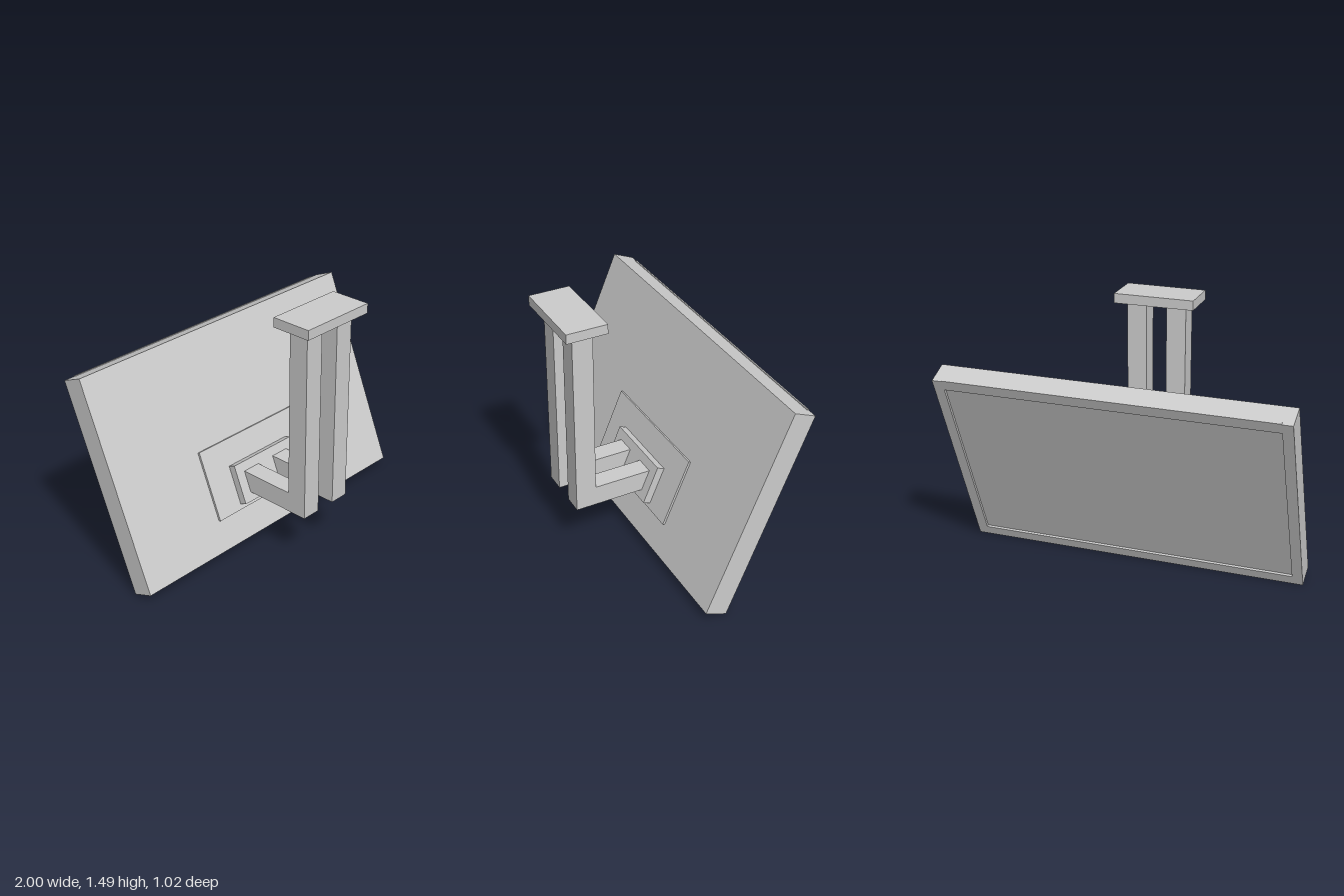
import * as THREE from 'three';

const grey = new THREE.MeshStandardMaterial({ color: 0xcccccc, flatShading: true });

// Box given by its minimum and maximum on each axis
function box(name, [x0, x1], [y0, y1], [z0, z1]) {
  const mesh = new THREE.Mesh(new THREE.BoxGeometry(x1 - x0, y1 - y0, z1 - z0), grey);
  mesh.position.set((x0 + x1) / 2, (y0 + y1) / 2, (z0 + z1) / 2);
  mesh.name = name;
  return mesh;
}

export function createModel() {
  const model = new THREE.Group();
  model.name = 'hangingScreen';

  // Tilted display, built upright around its own centre; the screen faces back
  const display = new THREE.Group();
  display.name = 'display';
  display.position.set(0, 0.598, -0.208);
  display.rotation.x = -0.394;
  model.add(display);

  const h = 0.617, d = 0.068, lip = 0.014, rim = 0.06;
  const rimZ = [-d, -d + lip];
  display.add(box('casing', [-1, 1], [-h, h], [-d + lip, d]));

  // Raised bezel around the recessed screen
  display.add(box('bezelRight', [-1, -1 + rim], [-h, h], rimZ));
  display.add(box('bezelLeft', [1 - rim, 1], [-h, h], rimZ));
  display.add(box('bezelTop', [-1 + rim, 1 - rim], [h - rim, h + 0.004], rimZ));
  display.add(box('bezelBottom', [-1 + rim, 1 - rim], [-h, -h + rim], rimZ));

  // Stacked mounting plates
  display.add(box('backingPlate', [-0.41, 0.41], [-0.44, -0.027], [d, 0.081]));
  display.add(box('mountPlate', [-0.235, 0.235], [-0.41, -0.177], [0.081, 0.126]));

  // Pair of L-shaped arms: profile drawn in (z, y), extruded along x
  const profile = new THREE.Shape([
    [0.455, 0.315], [0.455, 1.437], [0.335, 1.437],
    [0.335, 0.433], [-0.01, 0.433], [0.03, 0.315],
  ].map(([z, y]) => new THREE.Vector2(-z, y)));
  const armGeometry = new THREE.ExtrudeGeometry(profile, { depth: 0.115, bevelEnabled: false });
  armGeometry.rotateY(Math.PI / 2);
  for (const [name, x] of [['armLeft', 0.06], ['armRight', -0.175]]) {
    const arm = new THREE.Mesh(armGeometry, grey);
    arm.position.x = x;
    arm.name = name;
    model.add(arm);
  }

  // Ceiling plate
  model.add(box('ceilingPlate', [-0.235, 0.235], [1.437, 1.493], [0.275, 0.513]));
  return model;
}
